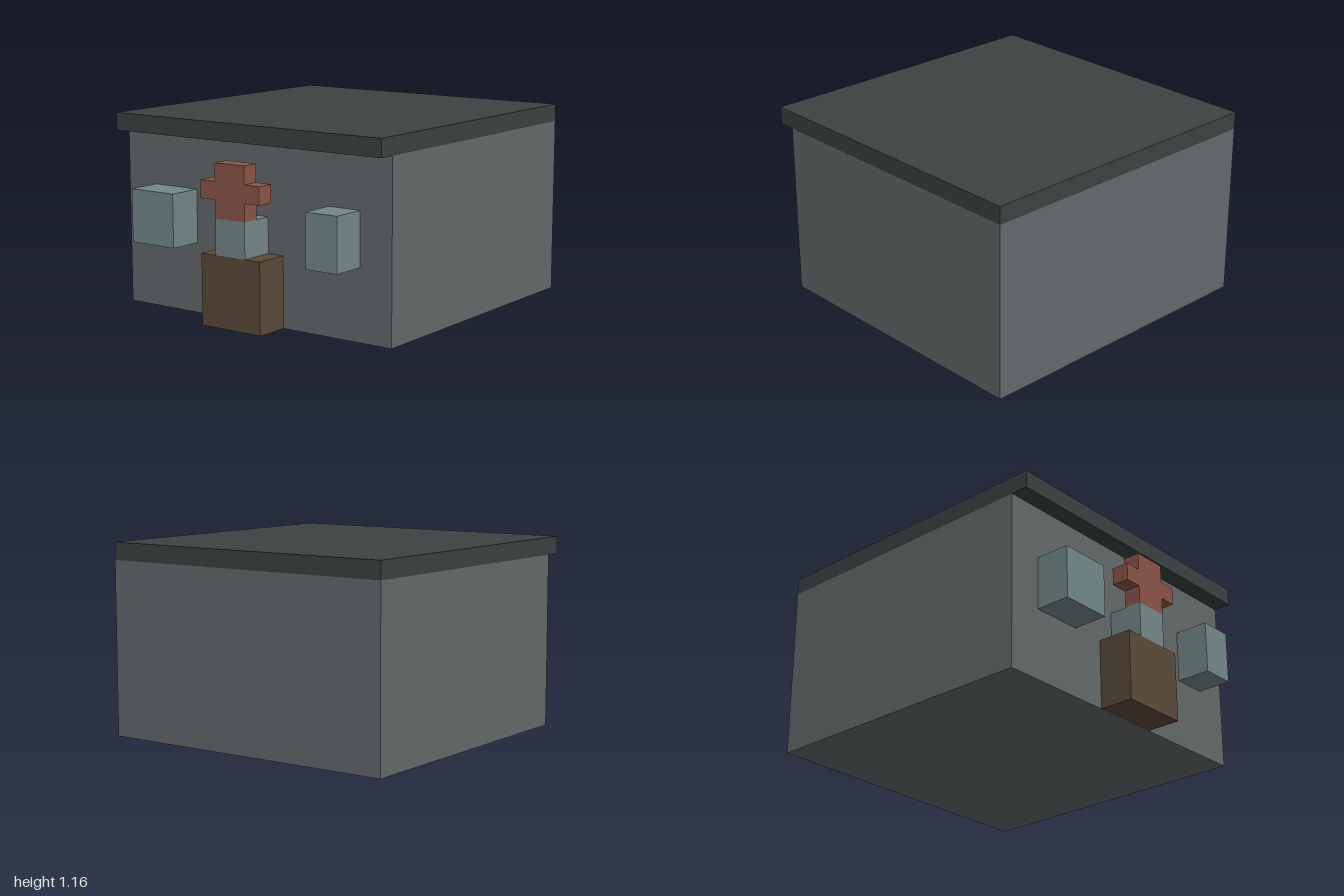
import * as THREE from 'three';

const U = 2 / 19; // one building block

function material(name, color) {
  const m = new THREE.MeshStandardMaterial({ color });
  m.name = name;
  return m;
}

export function createModel() {
  const model = new THREE.Group();
  model.name = 'building';

  const wall = material('wall grey', 0x63696b);
  const roof = material('roof slate', 0x3b4241);
  const wood = material('door brown', 0x5b4a3a);
  const glass = material('window glass', 0x738887);
  const red = material('cross red', 0x8c5548);

  // Box given by its extents in blocks; z is counted from the back wall
  function block(name, mat, [x0, x1], [y0, y1], [z0, z1], parent = model) {
    const geometry = new THREE.BoxGeometry((x1 - x0) * U, (y1 - y0) * U, (z1 - z0) * U);
    const mesh = new THREE.Mesh(geometry, mat);
    mesh.name = name;
    mesh.position.set((x0 + x1) / 2 * U, (y0 + y1) / 2 * U, (z0 + z1) / 2 * U - 1);
    parent.add(mesh);
  }

  // Main body and overhanging flat roof
  block('walls', wall, [-9, 9], [0, 10], [0, 17]);
  block('roof', roof, [-9, 9], [10, 11], [0, 18]);

  // Door with a pane above it
  block('door', wood, [-2, 2], [0, 4], [17, 19]);
  block('doorPane', glass, [-1, 1], [4, 6], [17, 19]);

  // Projecting windows, the right one wider
  block('rightWindow', glass, [-7, -4], [4, 7], [17, 19]);
  block('leftWindow', glass, [5, 7], [4, 7], [17, 19]);

  // Cross sign extruded from one outline
  const outline = [[-1, 6], [1, 6], [1, 7], [2, 7], [2, 8], [1, 8], [1, 9],
    [-1, 9], [-1, 8], [-2, 8], [-2, 7], [-1, 7]];
  const shape = new THREE.Shape(outline.map(([x, y]) => new THREE.Vector2(x * U, y * U)));
  const cross = new THREE.Mesh(
    new THREE.ExtrudeGeometry(shape, { depth: U, bevelEnabled: false }), red);
  cross.name = 'crossSign';
  cross.position.z = 18 * U - 1;
  model.add(cross);

  return model;
}
